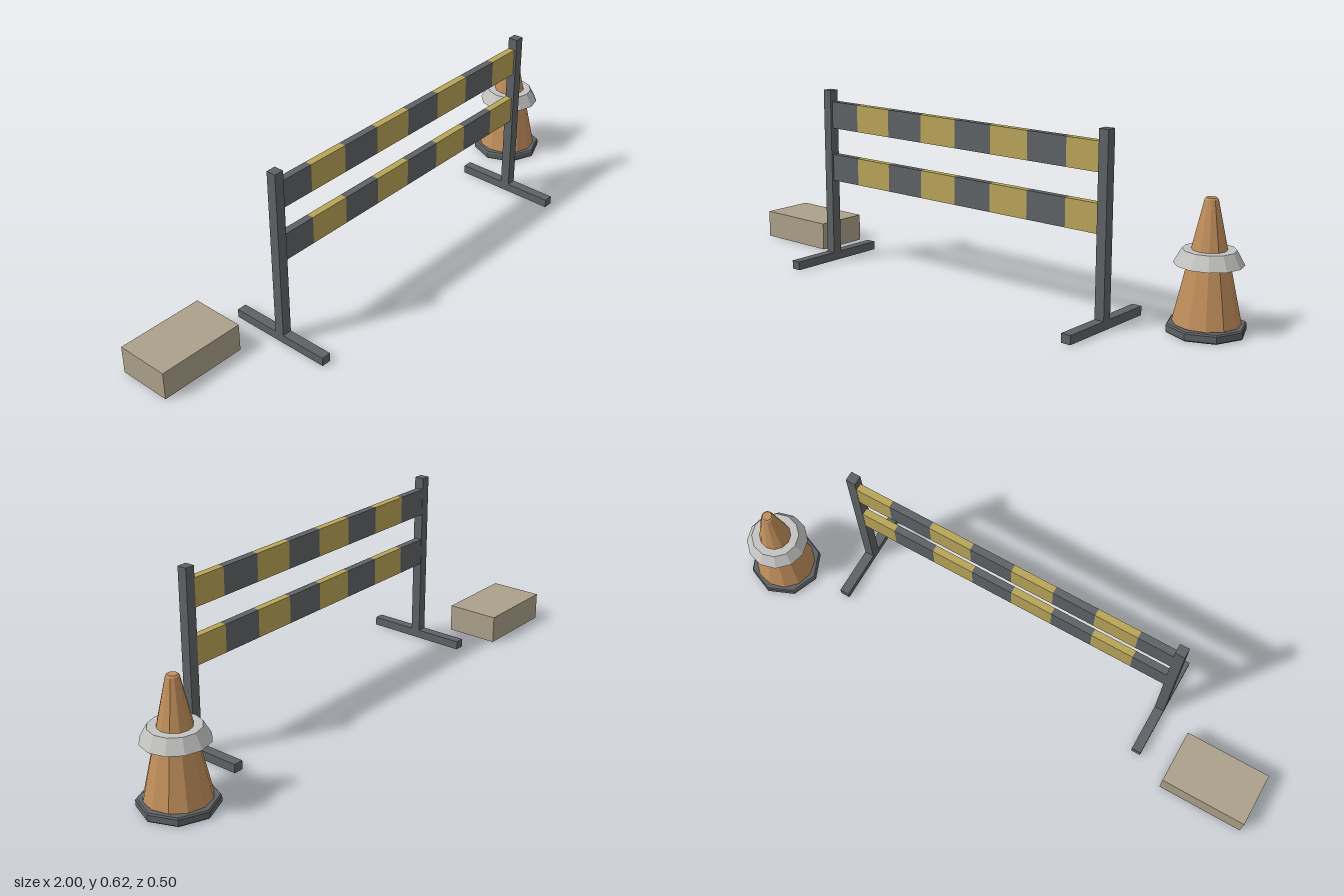
import * as THREE from 'three';

const mat = (name, color, flatShading = false) => {
  const m = new THREE.MeshStandardMaterial({ color });
  m.name = name;
  m.flatShading = flatShading;
  return m;
};

export function createModel() {
  const steel = mat('dark grey', 0x5e6265, true);
  const yellow = mat('dull yellow', 0xb8a458, true);
  const orange = mat('dull orange', 0xc08e5b, true);
  const white = mat('pale grey', 0xc3c3c2, true);
  const stone = mat('sandy grey', 0xaba08a, true);

  const model = new THREE.Group();
  model.name = 'roadBarrierSet';

  const add = (parent, name, geometry, material) => {
    const mesh = new THREE.Mesh(geometry, material);
    mesh.name = name;
    parent.add(mesh);
    return mesh;
  };
  // Box given by its minimum and maximum corners
  const box = (parent, name, a, b, material) => {
    const mesh = add(parent, name, new THREE.BoxGeometry(b[0] - a[0], b[1] - a[1], b[2] - a[2]), material);
    mesh.position.set((a[0] + b[0]) / 2, (a[1] + b[1]) / 2, (a[2] + b[2]) / 2);
    return mesh;
  };

  // Barrier: two posts on long feet
  const barrier = new THREE.Group();
  barrier.name = 'barrier';
  model.add(barrier);
  const middle = 0.029;
  for (const [side, s] of [['left', 1], ['right', -1]]) {
    const x = middle + s * 0.595;
    box(barrier, side + 'Post', [x - 0.017, 0.033, 0.047], [x + 0.017, 0.625, 0.081], steel);
    box(barrier, side + 'Foot', [x - 0.017, 0.003, -0.125], [x + 0.017, 0.033, 0.25], steel);
  }

  // Striped boards, each of eight alternating blocks
  const stripe = 0.151;
  for (const [name, y] of [['lowerBoard', 0.3], ['upperBoard', 0.49]]) {
    const board = new THREE.Group();
    board.name = name;
    barrier.add(board);
    for (let i = 0; i < 8; i++) {
      const x = middle + (i - 4) * stripe;
      box(board, i % 2 ? 'yellowStripe' : 'darkStripe',
        [x, y, 0.048], [x + stripe, y + 0.095, 0.073], i % 2 ? yellow : steel);
    }
  }

  // Traffic cone: octagonal base, twelve-sided body, flared collar
  const cone = new THREE.Group();
  cone.name = 'trafficCone';
  cone.position.set(0.875, 0, -0.125);
  model.add(cone);
  const lathe = (name, points, sides, material) =>
    add(cone, name, new THREE.LatheGeometry(points.map(([r, y]) => new THREE.Vector2(r, y)), sides), material);
  lathe('coneBase', [[0, 0.002], [0.121, 0.002], [0.125, 0.006], [0.125, 0.026], [0.121, 0.031], [0, 0.031]], 8, steel);
  lathe('coneBody', [[0, 0.033], [0.105, 0.033], [0.021, 0.415], [0.016, 0.421], [0, 0.421]], 12, orange);
  lathe('coneCollar', [[0.05, 0.217], [0.107, 0.217], [0.082, 0.262], [0.05, 0.262]], 12, white);

  // Loose block
  box(model, 'block', [-1, 0.002, -0.19], [-0.693, 0.1, 0], stone);

  return model;
}
